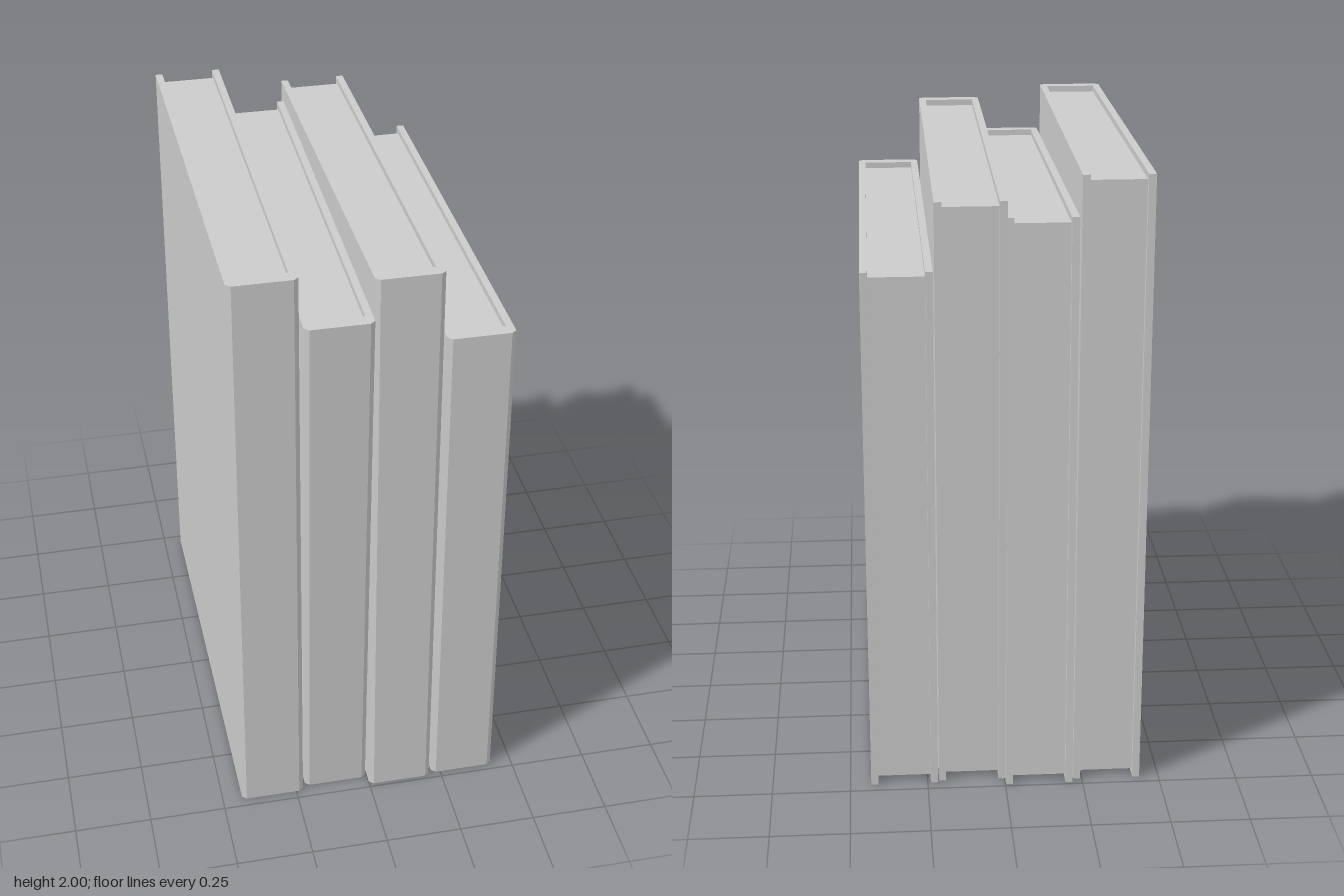
import * as THREE from 'three';

const BOARD = 0.023;   // cover board thickness
const SPINE = 0.042;   // spine thickness
const RECESS = 0.02;   // how far the pages sit inside the covers
const HALF = 0.72;     // half the depth of a book
const W = 0.105;       // half width at the spine
const FLARE = 0.003;   // covers open slightly towards the fore edge

// x centre, bottom z centre, height, lean of the top in z, rise of the top per unit z
const BOOKS = [
  { x: -0.33, z: 0, h: 2, lean: 0, slope: 0 },
  { x: -0.11, z: -0.02, h: 1.855, lean: 0.038, slope: -0.021 },
  { x: 0.105, z: 0.0175, h: 1.945, lean: -0.035, slope: 0.021 },
  { x: 0.325, z: 0.007, h: 1.728, lean: -0.02, slope: 0.01 },
];

// Extrude an (x, z) outline upwards from y0 to y1
function prism(points, y0, y1) {
  const shape = new THREE.Shape(points.map(([x, z]) => new THREE.Vector2(x, -z)));
  const geo = new THREE.ExtrudeGeometry(shape, { depth: y1 - y0, bevelEnabled: false });
  return geo.rotateX(-Math.PI / 2).translate(0, y0, 0);
}

// Tip the top of a book while its foot stays flat on the ground
function lean(geo, { h, lean, slope }) {
  const p = geo.attributes.position;
  for (let i = 0; i < p.count; i++) {
    const t = p.getY(i) / h;
    p.setY(i, p.getY(i) + t * slope * p.getZ(i));
    p.setZ(i, p.getZ(i) + t * lean);
  }
  geo.computeVertexNormals();
  return geo;
}

function makeBook(b, material) {
  const book = new THREE.Group();
  book.name = 'book';

  // U-shaped cover: chamfered spine in front, two boards running back
  const B = W + FLARE;
  const inner = HALF - SPINE;
  const right = [
    [W - 0.015, HALF], [W, HALF - 0.012], [B, -HALF],
    [B - BOARD, -HALF], [W - BOARD, inner],
  ];
  const left = right.map(([x, z]) => [-x, z]).reverse();
  const cover = new THREE.Mesh(lean(prism([...right, ...left], 0, b.h), b), material);
  cover.name = 'cover';

  // Page block, recessed at top, foot and fore edge
  const f = W - BOARD + 0.001, k = B - BOARD + 0.001;
  const outline = [[f, inner + 0.001], [k, -HALF + RECESS], [-k, -HALF + RECESS], [-f, inner + 0.001]];
  const pages = new THREE.Mesh(lean(prism(outline, RECESS, b.h - RECESS), b), material);
  pages.name = 'pages';

  book.add(cover, pages);
  book.position.set(b.x, 0, b.z);
  return book;
}

export function createModel() {
  const group = new THREE.Group();
  group.name = 'bookRow';
  const material = new THREE.MeshStandardMaterial({ color: 0xcccccc });
  for (const b of BOOKS) group.add(makeBook(b, material));
  return group;
}
